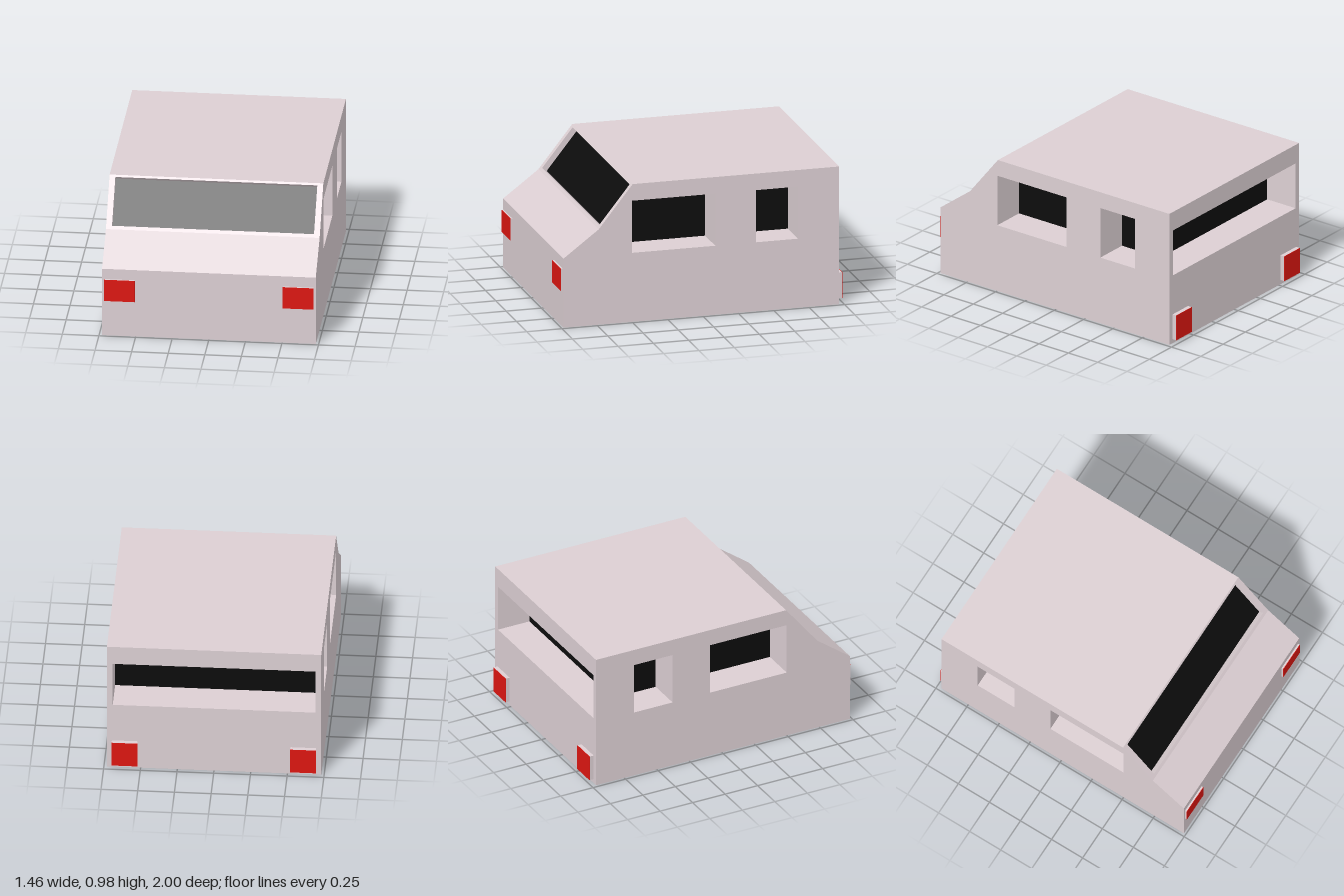
import * as THREE from 'three';

const paint = new THREE.MeshStandardMaterial({ color: 0xdccfd3 });
const glass = new THREE.MeshStandardMaterial({ color: 0x0c0c0c });
const red = new THREE.MeshStandardMaterial({ color: 0xdd1611 });

const HALF = 0.73; // half the body width
// Side profile as (z, y), from the front bottom over the roof to the rear bottom
const PROFILE = [[0.985, 0], [0.985, 0.49], [0.735, 0.677], [0.495, 0.978], [-0.967, 0.978], [-0.967, 0]];

const rect = (u0, v0, u1, v1) => [[u0, v0], [u1, v0], [u1, v1], [u0, v1]].map(p => new THREE.Vector2(...p));

function mesh(geometry, material, name) {
  const m = new THREE.Mesh(geometry, material);
  m.name = name;
  return m;
}

// Four walls running inward from a rectangular opening
function recessWalls(corners, depth) {
  const pos = [];
  corners.forEach((a, i) => {
    const b = corners[(i + 1) % 4];
    pos.push(a.x, a.y, 0, b.x, b.y, 0, b.x, b.y, -depth);
    pos.push(a.x, a.y, 0, b.x, b.y, -depth, a.x, a.y, -depth);
  });
  const g = new THREE.BufferGeometry();
  g.setAttribute('position', new THREE.Float32BufferAttribute(pos, 3));
  g.computeVertexNormals();
  return g;
}

// Flat body panel in its own (u, v) plane, with recessed windows
function panel(name, outline, windows, depth, origin, u, v) {
  const group = new THREE.Group();
  group.name = name;
  const shape = new THREE.Shape(outline);
  for (const w of windows) {
    const corners = rect(...w);
    shape.holes.push(new THREE.Path(corners));
    group.add(mesh(recessWalls(corners, depth), paint, 'windowRecess'));
    const pane = mesh(new THREE.PlaneGeometry(w[2] - w[0], w[3] - w[1]), glass, 'windowPane');
    pane.position.set((w[0] + w[2]) / 2, (w[1] + w[3]) / 2, -depth);
    group.add(pane);
  }
  group.add(mesh(new THREE.ShapeGeometry(shape), paint, name + 'Panel'));
  const n = new THREE.Vector3().crossVectors(u, v);
  group.quaternion.setFromRotationMatrix(new THREE.Matrix4().makeBasis(u, v, n));
  group.position.copy(origin);
  return group;
}

// Lamp: painted housing with a red lens on its outer end
function lamp(name, x, y, w, h, zBody, zEnd) {
  const group = new THREE.Group();
  group.name = name;
  const dir = Math.sign(zEnd), lens = 0.003;
  const depth = Math.abs(zEnd - zBody) - lens;
  const housing = mesh(new THREE.BoxGeometry(w, h, depth), paint, 'lampHousing');
  housing.position.set(x, y, zBody + dir * depth / 2);
  const cover = mesh(new THREE.BoxGeometry(w, h, lens), red, 'lampLens');
  cover.position.set(x, y, zEnd - dir * lens / 2);
  group.add(housing, cover);
  return group;
}

export function createModel() {
  const model = new THREE.Group();
  model.name = 'van';

  // Panels across the width, one per profile segment
  const names = ['front', 'hood', 'windshield', 'roof', 'rear', 'floor'];
  const openings = {
    windshield: { window: [-0.69, 0.025, 0.69, 0.369], depth: 0.04 },
    rear: { window: [-0.69, 0.138, 0.69, 0.473], depth: 0.242 },
  };
  const right = new THREE.Vector3(1, 0, 0);
  names.forEach((name, i) => {
    const [az, ay] = PROFILE[i], [bz, by] = PROFILE[(i + 1) % PROFILE.length];
    const v = new THREE.Vector3(0, by - ay, bz - az);
    const length = v.length();
    const o = openings[name];
    model.add(panel(name, rect(-HALF, 0, HALF, length), o ? [o.window] : [], o ? o.depth : 0,
      new THREE.Vector3(0, ay, az), right, v.normalize()));
  });

  for (const s of [1, -1]) {
    const side = s > 0 ? 'left' : 'right';

    // Side panel with a large front window and a small rear one
    const outline = PROFILE.map(([z, y]) => new THREE.Vector2(-s * z, y));
    const windows = [[0.5, -0.09], [-0.378, -0.675]].map(([z0, z1]) => {
      const us = [-s * z0, -s * z1].sort((a, b) => a - b);
      return [us[0], 0.49, us[1], 0.86];
    });
    model.add(panel(side + 'Side', outline, windows, 0.245,
      new THREE.Vector3(s * HALF, 0, 0), new THREE.Vector3(0, 0, -s), new THREE.Vector3(0, 1, 0)));

    model.add(lamp(side + 'Headlight', s * 0.61, 0.337, 0.21, 0.156, 0.985, 1));
    model.add(lamp(side + 'Taillight', s * 0.608, 0.123, 0.176, 0.184, -0.967, -1));
  }
  return model;
}
